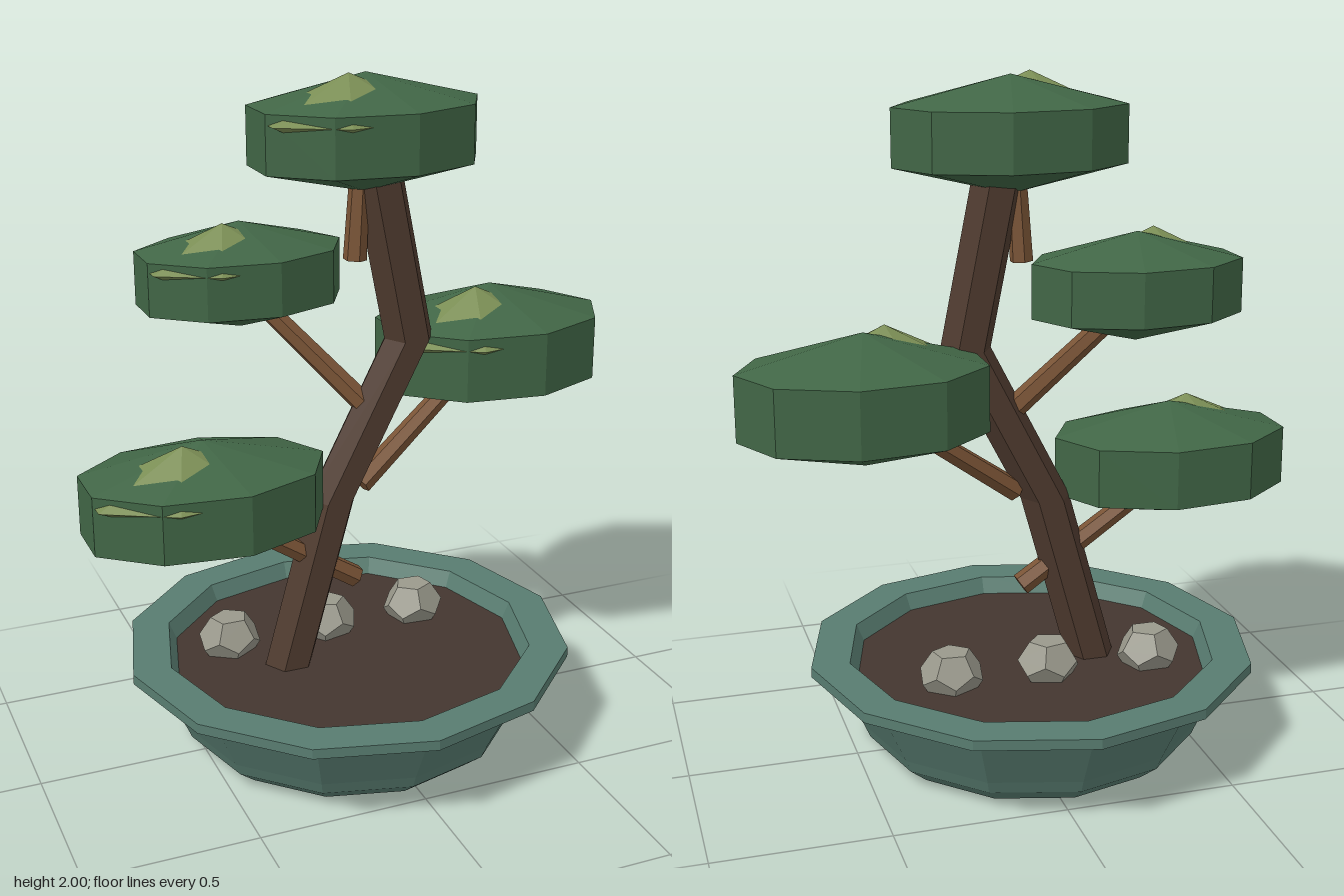
import * as THREE from 'three';

const mat = (color) => new THREE.MeshStandardMaterial({ color, flatShading: true });

export function createModel() {
  const model = new THREE.Group();
  const green = mat(0x416646), moss = mat(0x7b8e55), bark = mat(0x4f3b2f);
  const wood = mat(0x7a5436), glaze = mat(0x587c70), earth = mat(0x44362f), stone = mat(0x9a998c);
  const potX = -0.04;

  const add = (name, geometry, material, parent = model) => {
    const mesh = new THREE.Mesh(geometry, material);
    mesh.name = name;
    parent.add(mesh);
    return mesh;
  };

  // Twelve-sided pot with a flared rim and an inner lip
  const profile = [
    [0, 0], [0.44, 0], [0.5, 0.05], [0.517, 0.09], [0.6, 0.255],
    [0.67, 0.265], [0.67, 0.295], [0.555, 0.295], [0.53, 0.24],
  ].map(([r, y]) => new THREE.Vector2(r, y));
  add('pot', new THREE.LatheGeometry(profile, 12), glaze).position.x = potX;

  // Soil surface
  const soil = add('soil', new THREE.CylinderGeometry(0.532, 0.52, 0.04, 12), earth);
  soil.position.set(potX, 0.225, 0);

  // Crooked six-sided trunk: each ring of a cylinder is moved onto the path
  const path = [[0.05, 1.75], [0.155, 1.225], [-0.085, 0.76], [-0.235, 0.22]];
  const trunk = new THREE.CylinderGeometry(0.075, 0.075, 3, 6, 3).rotateY(Math.PI / 6);
  const p = trunk.attributes.position;
  for (let i = 0; i < p.count; i++) {
    const [x, y] = path[Math.round(1.5 - p.getY(i))];
    p.setX(i, p.getX(i) + x);
    p.setY(i, y);
  }
  add('trunk', trunk, bark);

  // Thin branches between two points
  const up = new THREE.Vector3(0, 1, 0);
  const branches = [
    [[-0.01, 0.485, 0], [-0.46, 0.78, 0.02]],
    [[0.005, 0.785, 0], [0.42, 1.09, -0.1]],
    [[0.02, 1.03, 0], [-0.28, 1.37, -0.16]],
    [[-0.012, 1.47, 0], [0.005, 1.75, 0]],
  ];
  for (const [from, to] of branches) {
    const a = new THREE.Vector3(...from), b = new THREE.Vector3(...to);
    const branch = add('branch', new THREE.CylinderGeometry(0.028, 0.034, a.distanceTo(b), 6), wood);
    branch.position.lerpVectors(a, b, 0.5);
    branch.quaternion.setFromUnitVectors(up, b.sub(a).normalize());
  }

  // Foliage pads: a flattened nine-sided ball with a lighter cap poking through
  const pads = [
    { at: [-0.49, 0.835, 0.04], size: [0.417, 0.175, 0.284] },
    { at: [0.474, 1.13, -0.117], size: [0.411, 0.19, 0.305] },
    { at: [-0.298, 1.415, -0.17], size: [0.355, 0.155, 0.243] },
    { at: [0.02, 1.828, 0], size: [0.393, 0.165, 0.27] },
  ];
  const padShape = new THREE.SphereGeometry(1, 9, 3).rotateY(Math.PI);
  const capShape = new THREE.SphereGeometry(1, 7, 2).rotateY(Math.PI);
  for (const { at, size } of pads) {
    const pad = new THREE.Group();
    pad.name = 'foliagePad';
    pad.position.set(...at);
    pad.scale.set(...size);
    add('leaves', padShape, green, pad);
    const cap = add('leafHighlight', capShape, moss, pad);
    cap.position.set(-0.17, 0.32, 0.15);
    cap.scale.set(0.7, 0.72, 0.7);
    model.add(pad);
  }

  // Row of stones behind the trunk
  [-0.37, -0.055, 0.24].forEach((x, i) => {
    const rock = add('stone', new THREE.DodecahedronGeometry(0.1).rotateX(0.55).rotateY(i * 0.9), stone);
    rock.position.set(x, 0.285, -0.135);
    rock.scale.set(0.95, 0.88, 0.85);
  });

  return model;
}
